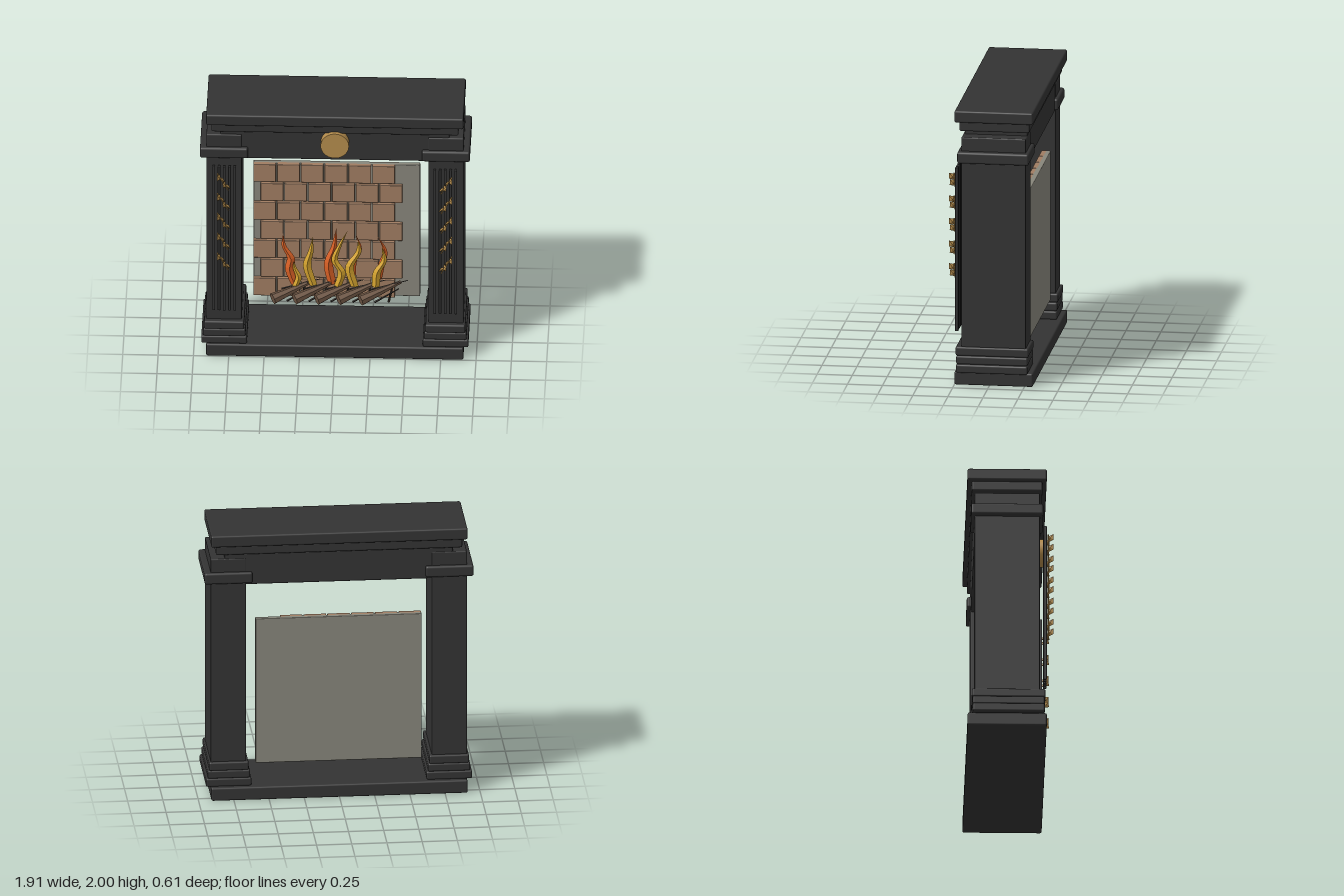
import * as THREE from 'three';
import { RoundedBoxGeometry } from 'three/addons/geometries/RoundedBoxGeometry.js';

const mat = (name, color, side = THREE.FrontSide) => {
  const m = new THREE.MeshStandardMaterial({ color, side });
  m.name = name;
  return m;
};

export function createModel() {
  const model = new THREE.Group();
  model.name = 'fireplace';
  const black = mat('charcoal', 0x333333);
  const gold = mat('antique gold', 0xb48c4c);
  const brickMat = mat('brick', 0xa07d62);
  const panelMat = mat('stone grey', 0x88867b);
  const orange = mat('flame orange', 0xdd6226);
  const yellow = mat('flame yellow', 0xd8a630);
  const bark = mat('log brown', 0x6e5644);
  const twigMat = mat('twig', 0x2e2721);

  const add = (name, geo, material, parent = model) => {
    const m = new THREE.Mesh(geo, material);
    m.name = name;
    parent.add(m);
    return m;
  };
  // Box given by its limits on each axis, with softened edges
  const slab = (name, x0, x1, y0, y1, z0, z1, material = black, r = 0.012, parent = model) => {
    const m = add(name, new RoundedBoxGeometry(x1 - x0, y1 - y0, z1 - z0, 2, r), material, parent);
    m.position.set((x0 + x1) / 2, (y0 + y1) / 2, (z0 + z1) / 2);
    return m;
  };
  const flat = (geo) => {
    const g = geo.toNonIndexed();
    g.computeVertexNormals();
    return g;
  };
  // Tapered stick between two points
  const stick = (name, a, b, r0, r1, sides, material, parent) => {
    const A = new THREE.Vector3(...a), B = new THREE.Vector3(...b);
    const dir = B.clone().sub(A);
    const m = add(name, flat(new THREE.CylinderGeometry(r1, r0, dir.length(), sides)), material, parent);
    m.position.copy(A).add(B).multiplyScalar(0.5);
    m.quaternion.setFromUnitVectors(new THREE.Vector3(0, 1, 0), dir.normalize());
    return m;
  };

  // Plinth, frieze and mantel
  slab('hearthPlinth', -0.91, 0.91, 0, 0.097, -0.31, 0.25);
  slab('frieze', -0.81, 0.81, 1.61, 1.85, -0.257, 0.19);
  slab('mantelMoulding', -0.875, 0.875, 1.845, 1.918, -0.28, 0.22);
  slab('mantelShelf', -0.91, 0.91, 1.915, 2, -0.31, 0.25);

  // Round medallion
  const medal = add('medallion', new THREE.CylinderGeometry(0.1, 0.1, 0.06, 40), gold);
  medal.rotation.x = Math.PI / 2;
  medal.position.set(0, 1.763, 0.222);

  // Columns, one on each side
  for (const s of [-1, 1]) {
    const column = new THREE.Group();
    column.name = s > 0 ? 'leftColumn' : 'rightColumn';
    model.add(column);
    const part = (name, xIn, xOut, y0, y1, z0, z1, r = 0.012) =>
      slab(name, Math.min(s * xIn, s * xOut), Math.max(s * xIn, s * xOut), y0, y1, z0, z1, black, r, column);
    part('shaft', 0.66, 0.91, 0.09, 1.81, -0.26, 0.2, 0.008);
    part('capital', 0.615, 0.955, 1.627, 1.71, -0.285, 0.225, 0.015);
    part('baseLower', 0.622, 0.945, 0.095, 0.156, -0.275, 0.235);
    part('baseMiddle', 0.632, 0.932, 0.156, 0.216, -0.275, 0.235);
    part('baseUpper', 0.642, 0.923, 0.216, 0.28, -0.28, 0.24);
    // Thin upright reeds
    for (let i = 0; i < 5; i++) {
      const x = 0.708 + i * 0.037;
      part('reed', x - 0.009, x + 0.009, 0.38, 1.575, 0.228, 0.25, 0.003);
    }
    // Climbing leaf sprays
    for (let i = 0; i < 5; i++) {
      const y = 1.46 - i * 0.165;
      stick('sprayStem', [s * 0.83, y + 0.065, 0.262], [s * 0.752, y - 0.075, 0.262], 0.006, 0.004, 5, gold, column);
      for (let k = 0; k < 4; k++) {
        const t = k / 3;
        const leaf = add('sprayLeaf', flat(new THREE.OctahedronGeometry(1, 0)), gold, column);
        leaf.scale.set(0.01, 0.034, 0.026);
        leaf.position.set(s * (0.822 - t * 0.062), y + 0.04 - t * 0.085, k % 2 ? 0.25 : 0.28);
        leaf.rotation.set(k % 2 ? -0.7 : 0.7, s * 0.35, s * (k % 2 ? -0.9 : -0.35));
      }
    }
  }

  // Fire back and staggered bricks
  slab('firebackPanel', -0.59, 0.59, 0.25, 1.34, -0.235, -0.195, panelMat, 0.006);
  const bricks = new THREE.Group();
  bricks.name = 'bricks';
  model.add(bricks);
  for (let row = 0; row < 7; row++) {
    for (let i = 0; i < 6; i++) {
      const x = (row % 2 ? -0.538 : -0.59) + i * 0.1685;
      const y = 0.25 + row * 0.1575;
      slab('brick', x, x + 0.16, y, y + 0.145, -0.21, -0.17, brickMat, 0.005, bricks);
    }
  }

  // Logs and twigs
  const fire = new THREE.Group();
  fire.name = 'fire';
  model.add(fire);
  for (let i = 0; i < 5; i++) {
    const x = -0.445 + i * 0.155;
    stick('log', [x, 0.36, 0.05], [x + 0.28, 0.425, -0.1], 0.042, 0.012, 7, bark, fire);
    stick('twig', [x + 0.1, 0.34, 0.04], [x + 0.27, 0.395, -0.06], 0.008, 0.004, 5, twigMat, fire);
    stick('twig', [x + 0.06, 0.405, -0.02], [x + 0.33, 0.44, -0.1], 0.006, 0.003, 5, twigMat, fire);
    stick('twig', [x + 0.2, 0.34, 0.03], [x + 0.22, 0.36, -0.13], 0.009, 0.007, 5, twigMat, fire);
  }

  // Flames: four-sided tapering tongues swept along a wavy path of [x, y] points
  const flame = (material, width, z, path) => {
    const curve = new THREE.CatmullRomCurve3(path.map(([x, y]) => new THREE.Vector3(x, y, z)));
    const geo = new THREE.CylinderGeometry(1, 1, 1, 4, 14);
    const p = geo.attributes.position;
    for (let i = 0; i < p.count; i++) {
      const t = p.getY(i) + 0.5;
      const c = curve.getPoint(t);
      const r = width * Math.max(0.02, (0.65 + 1.3 * t) * Math.pow(1 - t, 1.1));
      p.setXYZ(i, c.x + p.getX(i) * r, c.y, c.z + p.getZ(i) * r * 0.7);
    }
    add('flame', flat(geo), material, fire);
  };
  flame(orange, 0.046, -0.07, [[-0.29, 0.41], [-0.33, 0.54], [-0.32, 0.63], [-0.37, 0.73], [-0.375, 0.83]]);
  flame(yellow, 0.032, -0.04, [[-0.29, 0.41], [-0.265, 0.49], [-0.29, 0.56], [-0.3, 0.62]]);
  flame(yellow, 0.042, -0.06, [[-0.16, 0.41], [-0.205, 0.58], [-0.18, 0.69], [-0.165, 0.81]]);
  flame(orange, 0.046, -0.09, [[-0.03, 0.41], [-0.055, 0.58], [-0.015, 0.72], [0, 0.865]]);
  flame(yellow, 0.04, -0.05, [[0.01, 0.41], [0.04, 0.53], [-0.01, 0.63], [0.025, 0.75], [0.08, 0.87]]);
  flame(yellow, 0.044, -0.06, [[0.13, 0.41], [0.095, 0.57], [0.16, 0.7], [0.155, 0.79]]);
  flame(orange, 0.024, -0.1, [[0.12, 0.45], [0.13, 0.6], [0.17, 0.7], [0.14, 0.81]]);
  flame(yellow, 0.042, -0.06, [[0.28, 0.41], [0.29, 0.53], [0.34, 0.63], [0.325, 0.74]]);
  flame(orange, 0.034, -0.1, [[0.3, 0.45], [0.32, 0.57], [0.345, 0.68], [0.295, 0.8]]);

  return model;
}
